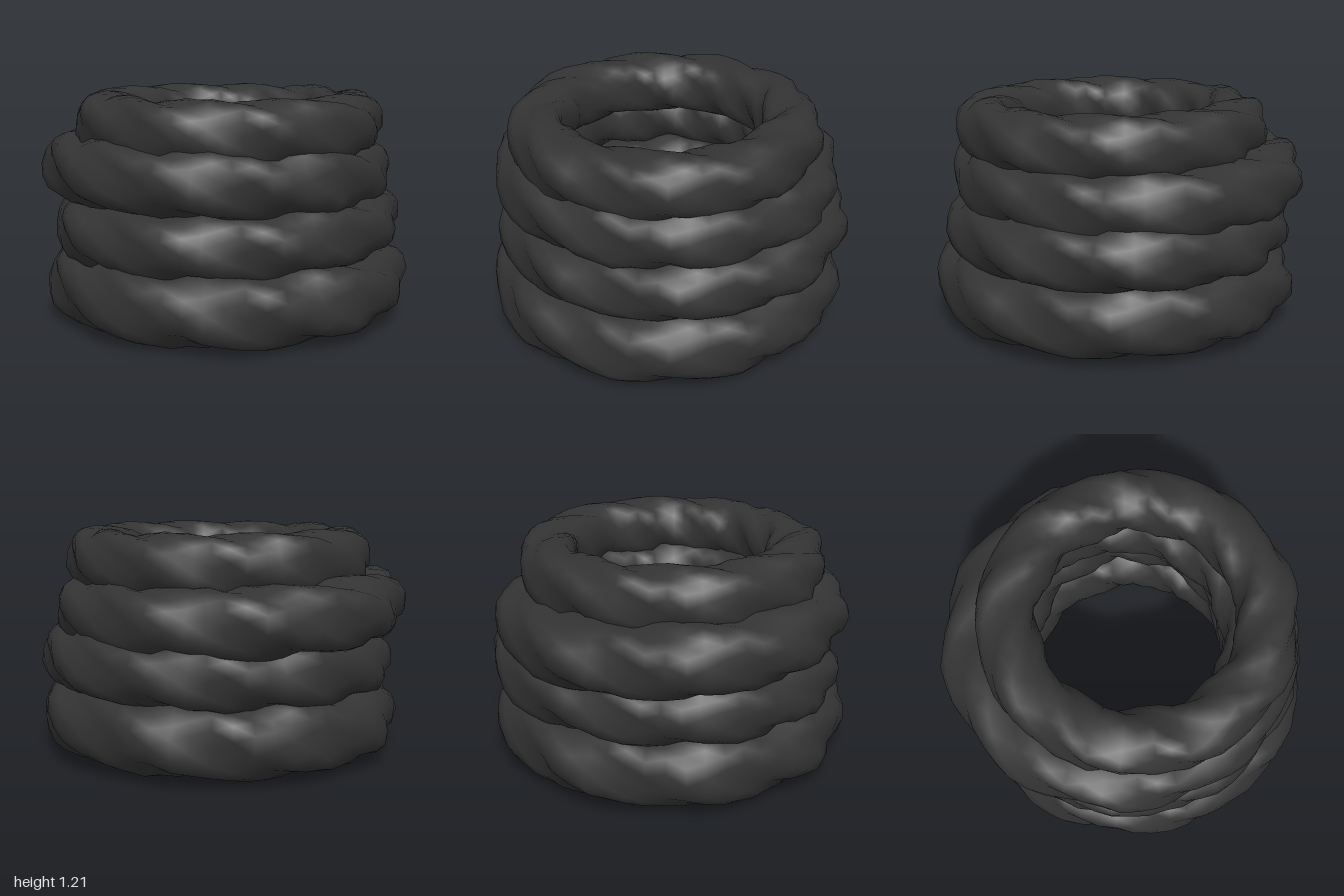
import * as THREE from 'three';

const SEGMENTS = 60, SIDES = 16;
const LOBES = 4, WAVES = 10; // strands in the rope, and ridges along one turn
const SHIFT = (SIDES * WAVES) / LOBES; // sides the mesh has twisted by after one turn

// One closed turn of rope whose mesh follows the twist of its strands
function ropeTurn({ y, rx, rz, cx, cz, w, h, tilt, seed }) {
  const pos = [], index = [];
  const squared = v => Math.sign(v) * Math.abs(v) ** 0.82;
  for (let i = 0; i < SEGMENTS; i++) {
    const t = (i / SEGMENTS) * Math.PI * 2;
    const wobble = 0.01 * Math.sin(9 * t + seed * 2.3);
    for (let j = 0; j < SIDES; j++) {
      const p = (j / SIDES - (WAVES / LOBES) * (i / SEGMENTS)) * Math.PI * 2;
      const ridge = Math.abs(Math.sin((LOBES * j * Math.PI) / SIDES));
      const rough = 0.035 * Math.sin(17 * t + 3 * p + seed * 5) * Math.sin(11 * t - 2 * p + seed);
      const s = 0.86 + 0.17 * ridge + rough;
      const out = w * s * squared(Math.cos(p)) + wobble;
      pos.push(
        cx + (rx + out) * Math.sin(t),
        y + tilt * Math.sin(t) + h * s * squared(Math.sin(p)),
        cz + (rz + out) * Math.cos(t)
      );
      const last = i === SEGMENTS - 1;
      const next = k => last
        ? (((k - SHIFT) % SIDES) + SIDES) % SIDES
        : (i + 1) * SIDES + (k % SIDES);
      const a = i * SIDES + j, d = i * SIDES + (j + 1) % SIDES;
      const b = next(j), c = next(j + 1);
      index.push(a, b, c, a, c, d);
    }
  }
  const g = new THREE.BufferGeometry();
  g.setAttribute('position', new THREE.Float32BufferAttribute(pos, 3));
  g.setIndex(index);
  g.computeVertexNormals();
  return g;
}

export function createModel() {
  const model = new THREE.Group();
  model.name = 'ropeCoil';
  const rope = new THREE.MeshStandardMaterial({ color: 0x333333 });
  rope.name = 'darkRope';

  // Stacked turns from the ground up; the top one is narrower
  const turns = [
    { name: 'bottomTurn', y: 0.205, rx: 0.75, rz: 0.76, cx: -0.01, cz: 0.02, w: 0.215, h: 0.19, tilt: 0.01, seed: 0.4 },
    { name: 'lowerTurn', y: 0.51, rx: 0.74, rz: 0.715, cx: 0.015, cz: 0, w: 0.21, h: 0.17, tilt: 0.025, seed: 2.1 },
    { name: 'upperTurn', y: 0.79, rx: 0.725, rz: 0.74, cx: -0.03, cz: -0.05, w: 0.205, h: 0.175, tilt: -0.02, seed: 3.7 },
    { name: 'topTurn', y: 1.035, rx: 0.66, rz: 0.665, cx: -0.015, cz: 0.035, w: 0.16, h: 0.16, tilt: 0, seed: 5.2 },
  ];
  for (const turn of turns) {
    const mesh = new THREE.Mesh(ropeTurn(turn), rope);
    mesh.name = turn.name;
    model.add(mesh);
  }

  // Settle on the ground, centred
  const box = new THREE.Box3().setFromObject(model);
  const mid = box.getCenter(new THREE.Vector3());
  for (const mesh of model.children) mesh.geometry.translate(-mid.x, -box.min.y, -mid.z);
  return model;
}
